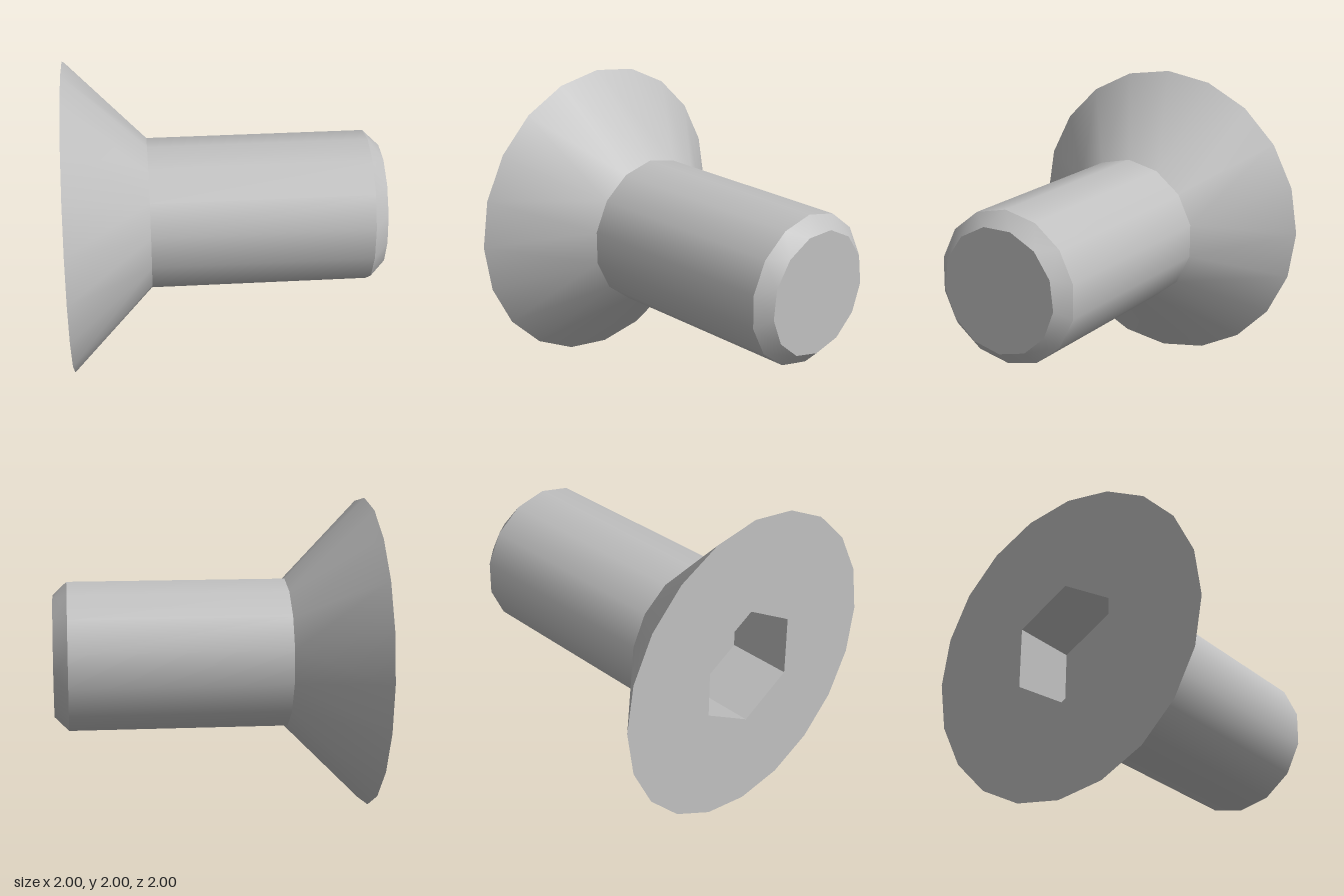
import * as THREE from 'three';

const AXIS_Y = 1; // height of the screw axis, which runs along x

// Ring of n corners around the axis; turn is the angle of the first corner from +y
const ring = (x, r, n, turn = 0) => ({ x, r, n, turn });
const angle = (g, i) => g.turn + (i / g.n) * Math.PI * 2;

// Surface between two rings that may have different corner counts
function loft(a, b, smooth = true) {
  const pos = [], nor = [];
  const slope = new THREE.Vector2(a.r - b.r, b.x - a.x).normalize();
  const put = (g, i) => {
    const t = angle(g, i), c = Math.cos(t), s = Math.sin(t);
    pos.push(g.x, AXIS_Y + g.r * c, g.r * s);
    nor.push(slope.x, slope.y * c, slope.y * s);
  };
  let i = 0, j = 0;
  while (i < a.n || j < b.n) {
    const stepA = j >= b.n || (i < a.n && angle(a, i + 1) <= angle(b, j + 1) + 1e-6);
    put(a, i);
    if (stepA) { put(a, ++i); put(b, j); }
    else { put(b, ++j); put(b, j - 1); }
  }
  const geo = new THREE.BufferGeometry();
  geo.setAttribute('position', new THREE.Float32BufferAttribute(pos, 3));
  if (smooth) geo.setAttribute('normal', new THREE.Float32BufferAttribute(nor, 3));
  else geo.computeVertexNormals();
  return geo;
}

// Flat face across a ring, with an optional hole, facing along x in direction dir
function cap(g, dir, hole) {
  const corners = (q) => Array.from({ length: q.n }, (_, i) =>
    new THREE.Vector2(q.r * Math.sin(angle(q, i)), q.r * Math.cos(angle(q, i))));
  const shape = new THREE.Shape(corners(g));
  if (hole) shape.holes.push(new THREE.Path(corners(hole)));
  return new THREE.ShapeGeometry(shape).rotateY(dir * Math.PI / 2).translate(g.x, AXIS_Y, 0);
}

export function createModel() {
  const group = new THREE.Group();
  const steel = new THREE.MeshStandardMaterial({ color: 0xc0c0c0 });
  steel.name = 'steel';
  const add = (name, geo) => {
    const mesh = new THREE.Mesh(geo, steel);
    mesh.name = name;
    group.add(mesh);
  };

  const rim = ring(-1, 1, 20);
  const neck = ring(-0.488, 0.485, 14);
  const shankEnd = ring(0.91, 0.485, 14);
  const tip = ring(1, 0.397, 13, Math.PI / 13);
  const socketMouth = ring(-1, 0.39, 6);
  const socketBottom = ring(-0.57, 0.39, 6);

  // Countersunk head with a hexagonal opening
  add('headCone', loft(rim, neck));
  add('headFace', cap(rim, -1, socketMouth));

  // Hex socket: inward-facing walls and floor
  add('socketWalls', loft(socketBottom, socketMouth, false));
  add('socketFloor', cap(socketBottom, -1));

  // Shank with chamfered end
  add('shank', loft(neck, shankEnd));
  add('tipChamfer', loft(shankEnd, tip));
  add('tipFace', cap(tip, 1));

  return group;
}
